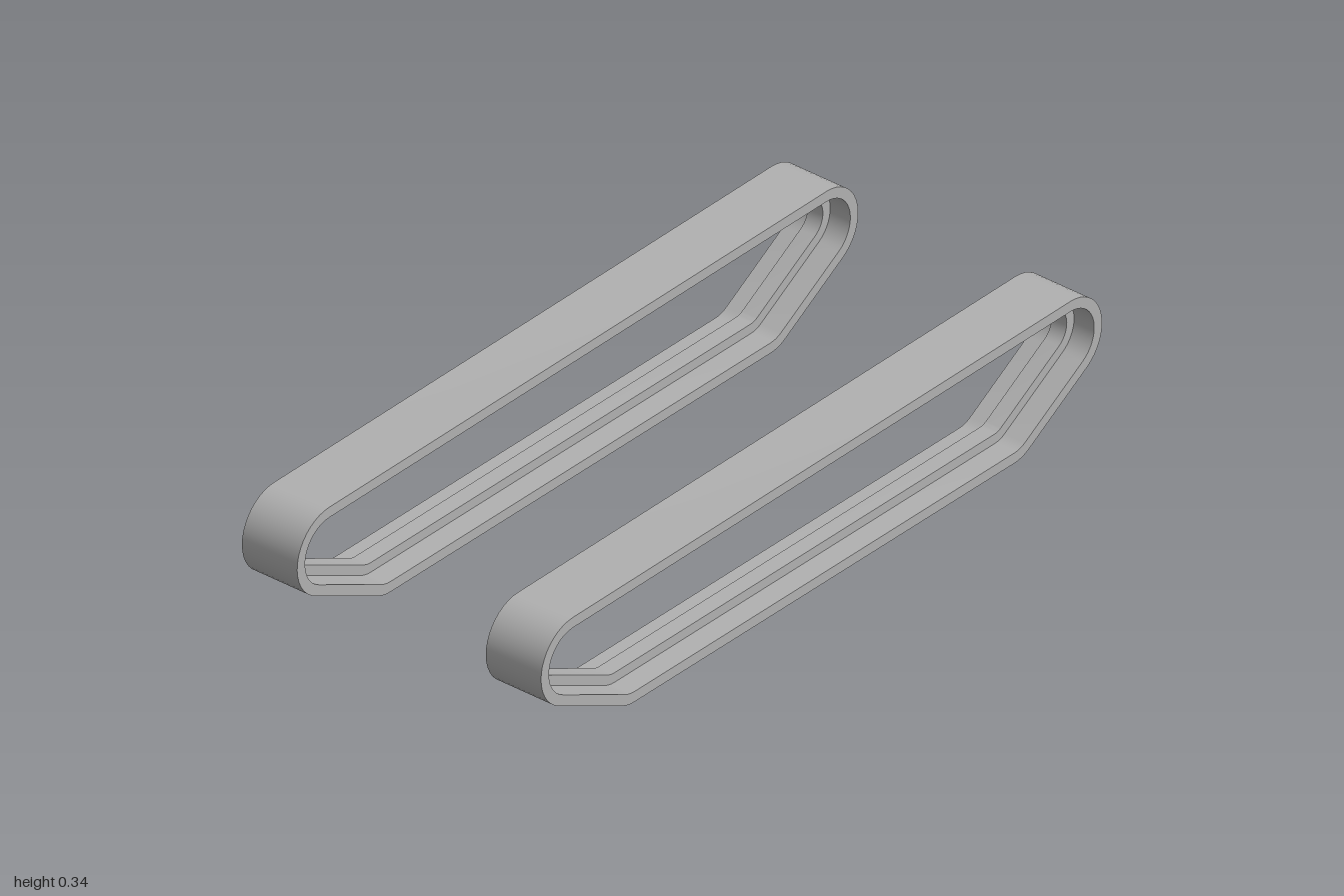
import * as THREE from 'three';
import { toCreasedNormals } from 'three/addons/utils/BufferGeometryUtils.js';

// Guide circles the track wraps around: [z, y, radius], counter-clockwise
const wheels = [
  [0.885, 0.22, 0.115],   // front
  [-0.888, 0.233, 0.112], // rear
  [-0.688, 0.1, 0.1],     // lower rear bend
  [0.668, 0.1, 0.1],      // lower front bend
];

// Angle of the outward normal of the tangent from circle a to circle b
function tangentAngle(a, b) {
  const dz = b[0] - a[0], dy = b[1] - a[1];
  return Math.atan2(dy, dz) - Math.acos((a[2] - b[2]) / Math.hypot(dz, dy));
}

// Belt outline around the circles, moved inwards by inset
function outline(inset) {
  const points = [];
  const n = wheels.length;
  wheels.forEach((w, i) => {
    const start = tangentAngle(wheels[(i + n - 1) % n], w);
    let sweep = tangentAngle(w, wheels[(i + 1) % n]) - start;
    while (sweep < 0) sweep += Math.PI * 2;
    const steps = Math.max(3, Math.ceil(sweep / 0.16));
    for (let s = 0; s <= steps; s++) {
      const a = start + (sweep * s) / steps;
      const r = w[2] - inset;
      points.push(new THREE.Vector2(w[0] + r * Math.cos(a), w[1] + r * Math.sin(a)));
    }
  });
  return points;
}

// Closed loop between two insets, centred across its width
function loopGeometry(outer, inner, width) {
  const shape = new THREE.Shape(outline(outer));
  shape.holes.push(new THREE.Path(outline(inner)));
  const geometry = new THREE.ExtrudeGeometry(shape, { depth: width, bevelEnabled: false });
  geometry.translate(0, 0, -width / 2);
  geometry.rotateY(-Math.PI / 2);
  return toCreasedNormals(geometry, 0.6);
}

export function createModel() {
  const model = new THREE.Group();
  model.name = 'trackPair';
  const steel = new THREE.MeshStandardMaterial({ color: 0xb0b0b0 });
  steel.name = 'steel grey';

  const band = loopGeometry(0, 0.028, 0.167);
  const rib = loopGeometry(0.027, 0.054, 0.045);

  for (const side of [1, -1]) {
    const track = new THREE.Group();
    track.name = side > 0 ? 'leftTrack' : 'rightTrack';
    track.position.x = side * 0.3685;
    // Wide outer band and the narrow guide rib along its inside
    for (const [name, geometry] of [['trackBand', band], ['guideRib', rib]]) {
      const mesh = new THREE.Mesh(geometry, steel);
      mesh.name = name;
      track.add(mesh);
    }
    model.add(track);
  }
  return model;
}
